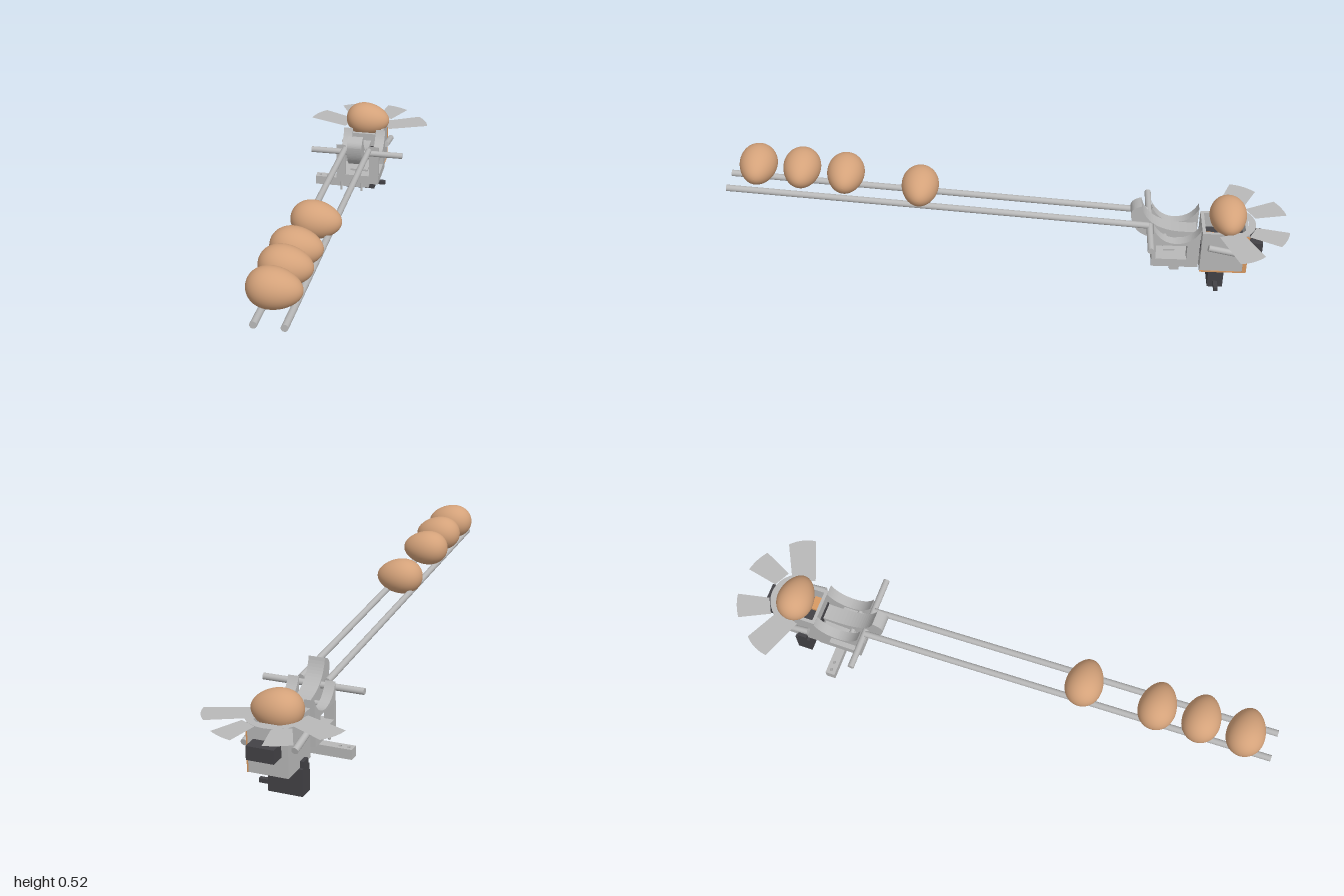
import * as THREE from 'three';

const mat = (name, color, side = THREE.FrontSide) => {
  const m = new THREE.MeshStandardMaterial({ color, side });
  m.name = name;
  return m;
};

export function createModel() {
  const root = new THREE.Group();
  root.name = 'eggSortingRig';
  const grey = mat('lightGrey', 0xb8b8b8);
  const sheet = grey.clone();
  sheet.side = THREE.DoubleSide;
  const black = mat('charcoal', 0x434246);
  const shell = mat('eggShell', 0xd4a27a);
  const orange = mat('orangeTan', 0xd99a62);

  const add = (name, geo, m, x = 0, y = 0, z = 0) => {
    const mesh = new THREE.Mesh(geo, m);
    mesh.name = name;
    mesh.position.set(x, y, z);
    root.add(mesh);
    return mesh;
  };
  // box given by its limits on each axis
  const box = (name, m, x0, x1, y0, y1, z0, z1) =>
    add(name, new THREE.BoxGeometry(x1 - x0, y1 - y0, z1 - z0), m, (x0 + x1) / 2, (y0 + y1) / 2, (z0 + z1) / 2);
  // round bar between two points
  const bar = (name, m, a, b, r) => {
    const p = new THREE.Vector3(...a), q = new THREE.Vector3(...b);
    const mesh = add(name, new THREE.CylinderGeometry(r, r, p.distanceTo(q), 24), m);
    mesh.position.copy(p).lerp(q, 0.5);
    mesh.quaternion.setFromUnitVectors(new THREE.Vector3(0, 1, 0), q.sub(p).normalize());
    return mesh;
  };
  // (z, y) profile extruded across x from x0 to x1
  const slab = (name, m, shape, x0, x1) => {
    const geo = new THREE.ExtrudeGeometry(shape, { depth: x1 - x0, bevelEnabled: false, curveSegments: 20 });
    geo.rotateY(-Math.PI / 2);
    return add(name, geo, m, x1, 0, 0);
  };
  const rectPath = (x0, y0, x1, y1) => new THREE.Path([[x0, y0], [x1, y0], [x1, y1], [x0, y1]].map(p => new THREE.Vector2(...p)));

  // sloping rails and the cross rod that carries them
  for (const s of [-1, 1]) bar('rail', grey, [s * 0.047, 0.385, 1], [s * 0.047, 0.276, -0.5], 0.0115);
  bar('crossRod', grey, [-0.18, 0.263, -0.505], [0.18, 0.263, -0.505], 0.0115);

  // eggs, blunt end towards -x
  const profile = [];
  for (let i = 0; i <= 28; i++) {
    const a = Math.PI * i / 28, u = -Math.cos(a);
    profile.push(new THREE.Vector2(Math.max(0.0655 * Math.sin(a) * (1 - 0.14 * u), 0), 0.0875 * u));
  }
  const eggGeo = new THREE.LatheGeometry(profile, 40);
  eggGeo.rotateZ(-Math.PI / 2);
  [[-0.007, 0.451, 0.89], [-0.007, 0.441, 0.735], [-0.007, 0.423, 0.58], [0.003, 0.385, 0.315], [-0.002, 0.29, -0.785]]
    .forEach(p => { add('egg', eggGeo, shell, ...p).rotation.z = -0.06; });

  // gate frame: two side walls with a saddle top and a window, joined by a floor
  const wall = new THREE.Shape();
  wall.moveTo(-0.516, 0.125);
  wall.lineTo(-0.516, 0.287);
  wall.quadraticCurveTo(-0.545, 0.228, -0.6, 0.226);
  wall.quadraticCurveTo(-0.66, 0.228, -0.685, 0.287);
  wall.lineTo(-0.683, 0.125);
  wall.closePath();
  wall.holes.push(rectPath(-0.64, 0.158, -0.53, 0.218));
  slab('frameWall', grey, wall, -0.083, -0.047);
  slab('frameWall', grey, wall, 0.047, 0.085);
  box('frameFloor', grey, -0.047, 0.047, 0.125, 0.158, -0.683, -0.516);
  box('floorRib', grey, -0.035, 0.035, 0.14, 0.165, -0.6, -0.56);

  // curved cradle that lifts one egg at a time
  const cradle = new THREE.Shape();
  cradle.moveTo(-0.473, 0.345);
  cradle.quadraticCurveTo(-0.437, 0.335, -0.436, 0.31);
  cradle.quadraticCurveTo(-0.445, 0.215, -0.535, 0.21);
  cradle.quadraticCurveTo(-0.6, 0.212, -0.675, 0.225);
  cradle.lineTo(-0.675, 0.242);
  cradle.quadraticCurveTo(-0.5, 0.228, -0.473, 0.345);
  slab('cradle', grey, cradle, -0.028, 0.03);
  bar('cradleAxle', grey, [-0.047, 0.222, -0.56], [0.047, 0.222, -0.56], 0.009);

  // linkage arm with screw holes, its spindle and locating pins
  const arm = new THREE.Shape();
  arm.setFromPoints([[-0.182, 0.587], [0.035, 0.587], [0.035, 0.622], [-0.182, 0.622]].map(p => new THREE.Vector2(...p)));
  for (const x of [-0.165, -0.135]) arm.holes.push(new THREE.Path().absarc(x, 0.605, 0.006, 0, Math.PI * 2));
  const armGeo = new THREE.ExtrudeGeometry(arm, { depth: 0.035, bevelEnabled: false });
  armGeo.rotateX(-Math.PI / 2);
  add('linkArm', armGeo, grey, 0, 0.072, 0);
  bar('armSpindle', grey, [0, 0.1, -0.605], [0, 0.13, -0.605], 0.012);
  for (const x of [-0.065, 0.016]) bar('pin', grey, [x, 0.085, -0.53], [x, 0.13, -0.53], 0.0045);

  // open-topped housing
  const rim = new THREE.Shape();
  rim.setFromPoints([[-0.07, 0.692], [0.07, 0.692], [0.07, 0.858], [-0.07, 0.858]].map(p => new THREE.Vector2(...p)));
  rim.holes.push(rectPath(-0.058, 0.704, 0.058, 0.846));
  const rimGeo = new THREE.ExtrudeGeometry(rim, { depth: 0.165, bevelEnabled: false });
  rimGeo.rotateX(-Math.PI / 2);
  add('housingWalls', rimGeo, grey, 0, 0.098, 0);
  box('housingFloor', grey, -0.07, 0.07, 0.094, 0.11, -0.858, -0.692);
  box('cornerStrip', orange, 0.067, 0.0715, 0.1, 0.255, -0.8595, -0.845);
  box('lowerStrip', orange, 0.067, 0.0715, 0.094, 0.1, -0.8595, -0.692);
  box('innerPad', orange, 0, 0.05, 0.205, 0.222, -0.74, -0.705);

  // sloping guide rods along both sides
  for (const s of [-1, 1]) bar('guideRod', grey, [s * 0.086, 0.213, -0.715], [s * 0.086, 0.186, -0.845], 0.0115);

  // motors
  box('rearMotor', black, -0.047, 0.047, 0.163, 0.21, -0.912, -0.688);
  box('lowerMotor', black, -0.083, 0.037, 0, 0.094, -0.786, -0.73);
  box('motorFlange', black, -0.083, 0.037, 0.085, 0.117, -0.775, -0.74);
  box('motorCable', black, 0.037, 0.079, 0.012, 0.027, -0.765, -0.75);

  // flat fan blades around the back, mirrored
  const blades = [
    [[-0.09, 0.75], [-0.24, 0.81], [-0.235, 0.86], [-0.195, 0.9], [-0.06, 0.83]],
    [[-0.085, 0.855], [-0.137, 0.962], [-0.1, 0.99], [-0.052, 1], [-0.028, 0.885]],
  ];
  for (const s of [-1, 1]) for (const [a, b, c, d, e] of blades) {
    const blade = new THREE.Shape();
    blade.moveTo(s * a[0], a[1]);
    blade.lineTo(s * b[0], b[1]);
    blade.quadraticCurveTo(s * c[0], c[1], s * d[0], d[1]);
    blade.lineTo(s * e[0], e[1]);
    blade.closePath();
    const geo = new THREE.ShapeGeometry(blade);
    geo.rotateX(-Math.PI / 2);
    add('fanBlade', geo, sheet, 0, 0.266, 0);
  }
  // ring that joins the blades
  const ring = new THREE.RingGeometry(0.075, 0.1, 32, 1, Math.PI * 0.02, Math.PI * 0.96);
  ring.rotateX(-Math.PI / 2);
  add('bladeRing', ring, sheet, 0, 0.265, -0.785);

  return root;
}
